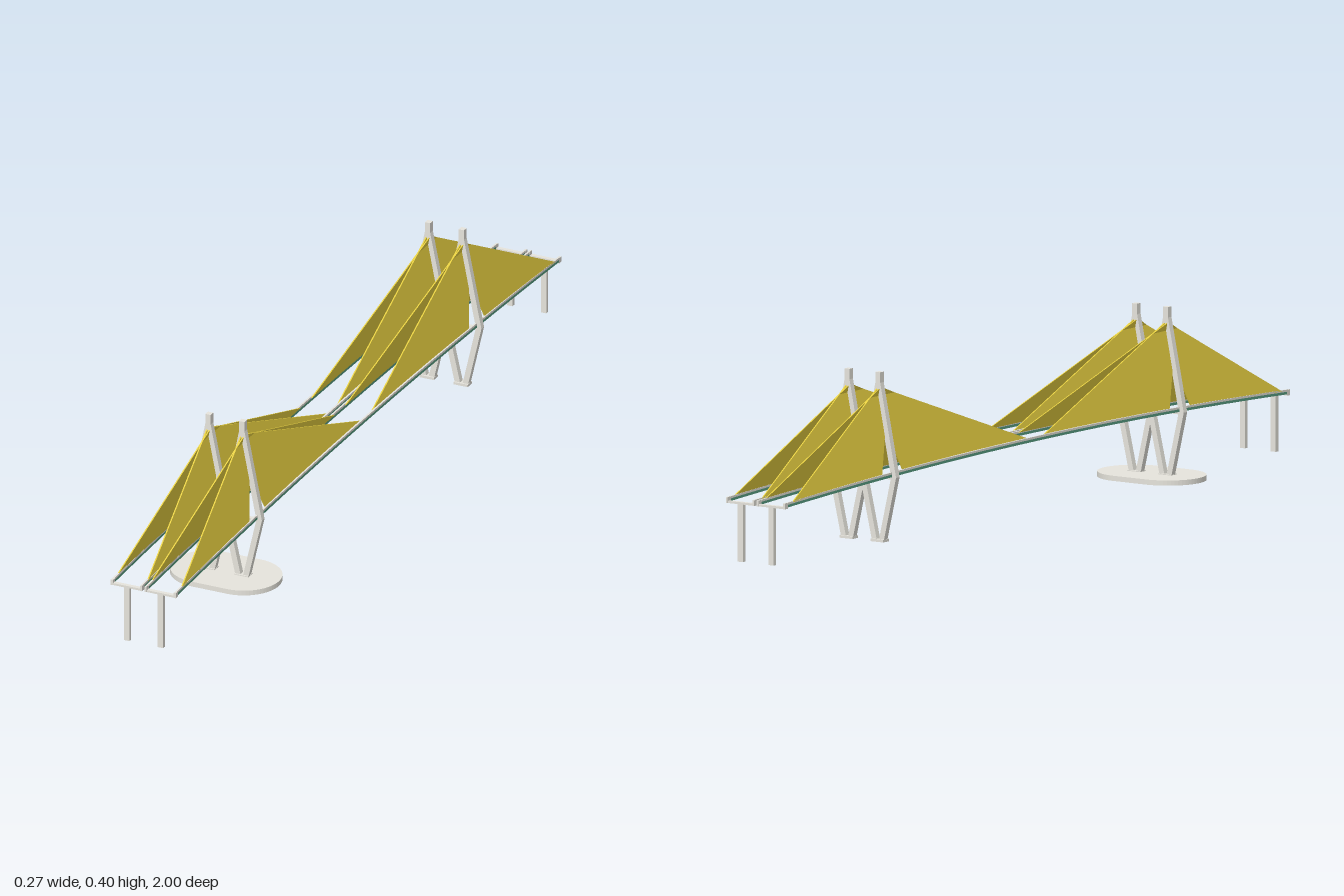
import * as THREE from 'three';

const concrete = new THREE.MeshStandardMaterial({ color: 0xe6e4dc, name: 'pale concrete' });
const steel = new THREE.MeshStandardMaterial({ color: 0x5aa084, name: 'green steel' });
const stayYellow = new THREE.MeshStandardMaterial({ color: 0xe5ce40, name: 'stay yellow' });

const DECK_X = 0.043;   // centre of each of the two decks
const PYLON_Z = 0.57;
const deckY = z => 0.15 + 0.024 * (1 - z * z);   // cambered deck line

function add(parent, name, geometry, material, x = 0, y = 0, z = 0) {
  const mesh = new THREE.Mesh(geometry, material);
  mesh.name = name;
  mesh.position.set(x, y, z);
  parent.add(mesh);
  return mesh;
}

const box = (w, h, d) => new THREE.BoxGeometry(w, h, d);

// Long beam bent to follow the deck camber
function cambered(w, h, lift) {
  const g = new THREE.BoxGeometry(w, h, 2, 1, 1, 24);
  const p = g.attributes.position;
  for (let i = 0; i < p.count; i++) p.setY(i, p.getY(i) + deckY(p.getZ(i)) + lift);
  g.computeVertexNormals();
  return g;
}

// One bent leg; two mirrored legs make a diamond pylon
function legGeometry(side) {
  const pts = [[0.016, 0.008], [0.051, 0.16], [0.0068, 0.376], [0.0068, 0.4],
    [0, 0.4], [0, 0.34], [0.037, 0.16], [0.002, 0.008]];
  const shape = new THREE.Shape(pts.map(([x, y]) => new THREE.Vector2(x * side, y)));
  const g = new THREE.ExtrudeGeometry(shape, { depth: 0.014, bevelEnabled: false });
  return g.translate(0, 0, -0.007);
}

// Thin band of stays between two anchor lines, leaning in towards the pylon top
function stayBand(side, pylonZ, dir, reach, t0, t1) {
  const anchors = t => {
    const z = pylonZ + dir * (reach + (0.042 - reach) * t);
    return [new THREE.Vector2(pylonZ, 0.365 - 0.095 * t), new THREE.Vector2(z, deckY(z) + 0.003)];
  };
  const [topA, footA] = anchors(t0);
  const [topB, footB] = anchors(t1);
  const shape = new THREE.Shape([topA, footA, footB, topB]);
  const g = new THREE.ExtrudeGeometry(shape, { depth: 0.003, bevelEnabled: false });
  g.rotateY(-Math.PI / 2).translate(0.0015, 0, 0);
  const p = g.attributes.position;
  for (let i = 0; i < p.count; i++) {
    p.setX(i, p.getX(i) + side * (0.037 - 0.2 * (p.getY(i) - 0.16)));
  }
  g.computeVertexNormals();
  return g;
}

// Fan of four bands from one pylon leg to the deck edge
function stayFan(name, side, pylonZ, dir, reach) {
  const fan = new THREE.Group();
  fan.name = name;
  const n = 4;
  for (let i = 0; i < n; i++) {
    add(fan, 'stayBand', stayBand(side, pylonZ, dir, reach, i / n, (i + 1) / n), stayYellow);
  }
  return fan;
}

function buildDeck() {
  const deck = new THREE.Group();

  // Edge girders: concrete rail over a green steel web
  for (const side of [-1, 1]) {
    add(deck, 'edgeRail', cambered(0.0045, 0.005, 0.003), concrete, side * 0.037);
    add(deck, 'edgeGirder', cambered(0.0045, 0.006, -0.0025), steel, side * 0.037);
  }

  for (const end of [-1, 1]) {
    // End pier with a cap and upturned ends
    const pier = new THREE.Group();
    pier.name = 'endPier';
    add(pier, 'pierColumn', box(0.014, 0.134, 0.01), concrete, 0, 0.076, 0);
    add(pier, 'pierCap', box(0.079, 0.005, 0.01), concrete, 0, 0.1445, 0);
    for (const side of [-1, 1]) add(pier, 'capEnd', box(0.0055, 0.013, 0.012), concrete, side * 0.037, 0.1485, 0);
    pier.position.z = end * 0.995;
    deck.add(pier);

    // Diamond pylon with a beam under the deck
    const pylon = new THREE.Group();
    pylon.name = 'pylon';
    for (const side of [-1, 1]) add(pylon, 'pylonLeg', legGeometry(side), concrete);
    add(pylon, 'pylonCrossbeam', box(0.078, 0.005, 0.01), concrete, 0, 0.157, 0);
    add(pylon, 'pylonFoot', box(0.036, 0.006, 0.022), concrete, 0, 0.011, 0);
    pylon.position.z = end * PYLON_Z;
    deck.add(pylon);

    // Stays: short towards the shore, long towards midspan
    for (const side of [-1, 1]) {
      deck.add(stayFan('shoreStays', side, end * PYLON_Z, end, 0.4));
      deck.add(stayFan('midspanStays', side, end * PYLON_Z, -end, 0.54));
    }
  }
  return deck;
}

export function createModel() {
  const bridge = new THREE.Group();
  bridge.name = 'twinCableStayedBridge';

  for (const side of [-1, 1]) {
    const deck = buildDeck();
    deck.name = side > 0 ? 'leftDeck' : 'rightDeck';
    deck.position.x = side * DECK_X;
    bridge.add(deck);
  }

  // Rounded island under the front pylons
  const r = 0.088, c = 0.045;
  const outline = new THREE.Shape();
  outline.absarc(c, 0, r, -Math.PI / 2, Math.PI / 2, false);
  outline.absarc(-c, 0, r, Math.PI / 2, Math.PI * 1.5, false);
  const island = new THREE.ExtrudeGeometry(outline, { depth: 0.012, bevelEnabled: false, curveSegments: 16 });
  island.rotateX(-Math.PI / 2);
  add(bridge, 'pylonIsland', island, concrete, 0, 0, PYLON_Z);

  return bridge;
}
